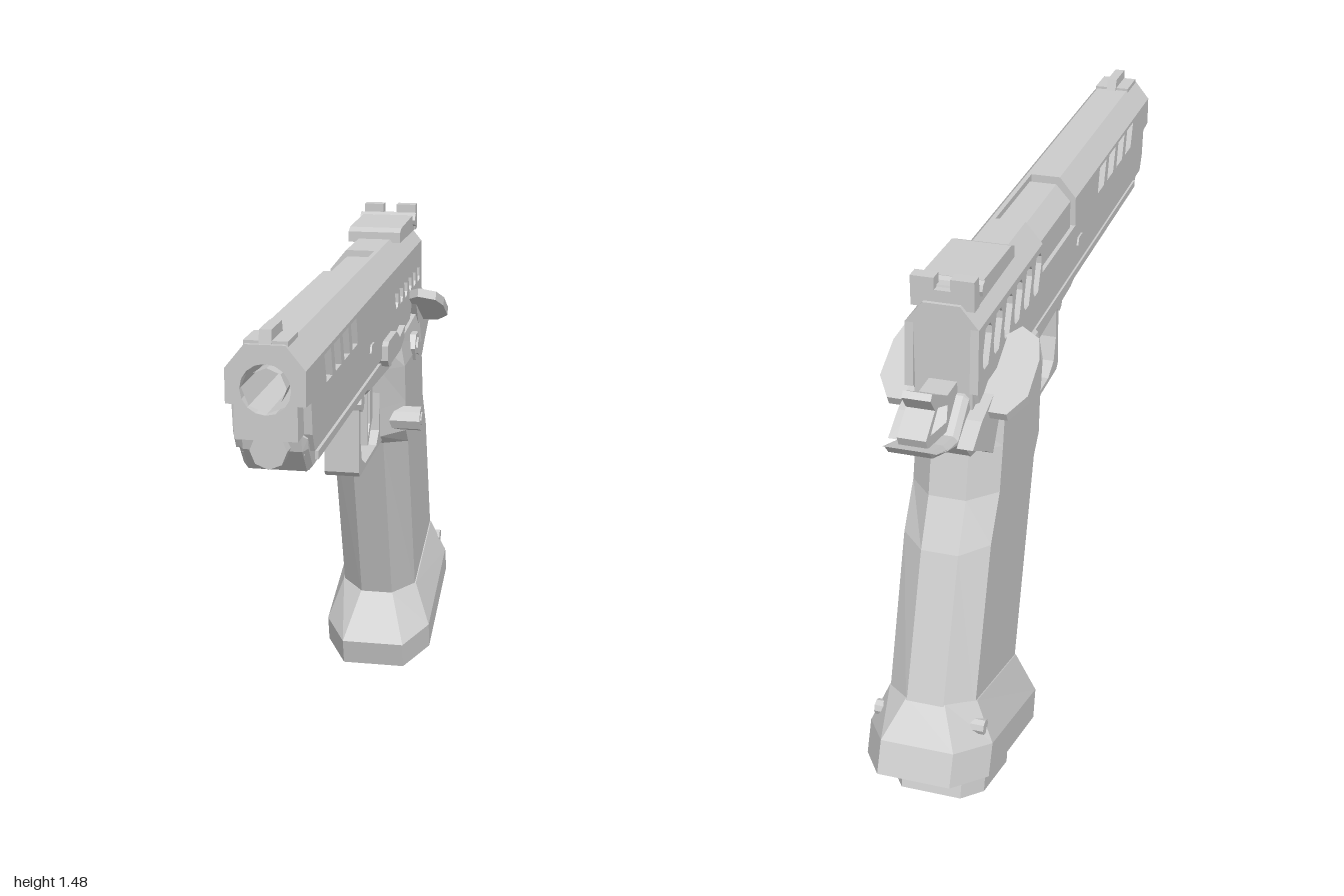
import * as THREE from 'three';

const steel = new THREE.MeshStandardMaterial({ color: 0xcccccc });
steel.name = 'grey steel';
steel.flatShading = true;

// Side profile of [z, y] points, extruded across x from x0 to x1
function sidePart(name, pts, x0, x1, holes = [], bevel = 0) {
  const toV = p => new THREE.Vector2(-p[0], p[1]);
  const shape = new THREE.Shape(pts.map(toV));
  holes.forEach(h => shape.holes.push(new THREE.Path(h.map(toV))));
  const geo = new THREE.ExtrudeGeometry(shape, {
    depth: x1 - x0 - 2 * bevel, bevelEnabled: bevel > 0, bevelSize: bevel,
    bevelThickness: bevel, bevelOffset: -bevel, bevelSegments: 1, curveSegments: 8,
  });
  geo.rotateY(Math.PI / 2).translate(x0 + bevel, 0, 0);
  return named(name, geo);
}

// Cross-section of [x, y] points, extruded along z from z0 to z1
function crossPart(name, pts, z0, z1, holes = []) {
  const shape = new THREE.Shape(pts.map(p => new THREE.Vector2(...p)));
  holes.forEach(([x, y, r]) => shape.holes.push(new THREE.Path().absarc(x, y, r, 0, Math.PI * 2, true)));
  const geo = new THREE.ExtrudeGeometry(shape, { depth: z1 - z0, bevelEnabled: false, curveSegments: 8 });
  return named(name, geo.translate(0, 0, z0));
}

function named(name, geo) {
  const mesh = new THREE.Mesh(geo, steel);
  mesh.name = name;
  return mesh;
}

function box(name, x0, x1, y0, y1, z0, z1) {
  const geo = new THREE.BoxGeometry(x1 - x0, y1 - y0, z1 - z0);
  return named(name, geo.translate((x0 + x1) / 2, (y0 + y1) / 2, (z0 + z1) / 2));
}

// Cylinder lying across x
function pin(name, z, y, r, x0, x1, sides = 8) {
  const geo = new THREE.CylinderGeometry(r, r, x1 - x0, sides);
  return named(name, geo.rotateZ(Math.PI / 2).translate((x0 + x1) / 2, y, z));
}

// Loft through tilted octagons, top to bottom: [frontZ, frontY, backZ, backY, halfWidth, halfFlat, chamfer]
function loft(name, sections) {
  const rings = sections.map(([fz, fy, bz, by, w, f, c]) => {
    const k = c / Math.hypot(bz - fz, by - fy);
    return [[f, 0], [w, k], [w, 1 - k], [f, 1], [-f, 1], [-w, 1 - k], [-w, k], [-f, 0]]
      .map(([x, t]) => [x, fy + (by - fy) * t, fz + (bz - fz) * t]);
  });
  const pos = [];
  const tri = (...v) => v.forEach(p => pos.push(...p));
  for (let i = 0; i < rings.length - 1; i++) {
    for (let j = 0; j < 8; j++) {
      const k = (j + 1) % 8, t = rings[i], b = rings[i + 1];
      tri(t[j], b[j], b[k]);
      tri(t[j], b[k], t[k]);
    }
  }
  const top = rings[0], end = rings[rings.length - 1];
  for (let j = 1; j < 7; j++) {
    tri(top[0], top[j], top[j + 1]);
    tri(end[0], end[j + 1], end[j]);
  }
  const geo = new THREE.BufferGeometry();
  geo.setAttribute('position', new THREE.Float32BufferAttribute(pos, 3));
  geo.computeVertexNormals();
  return named(name, geo);
}

export function createModel() {
  const model = new THREE.Group();
  const body = new THREE.Group();
  body.name = 'pistol';
  body.position.x = -0.01;
  model.add(body);
  const add = (...m) => body.add(...m);

  // Slide core: narrow waist under a chamfered crown
  const crown = [[-0.072, 1.2], [0.072, 1.2], [0.072, 1.36], [0.091, 1.36], [0.046, 1.415], [-0.046, 1.415], [-0.091, 1.36], [-0.072, 1.36]];
  add(crossPart('slideFront', crown, 0.14, 1, [[0, 1.315, 0.058]]));
  add(crossPart('slideRear', crown, -0.7, -0.18));
  add(crossPart('slidePortWall', [[-0.072, 1.17], [0.072, 1.17], [0.072, 1.36], [0.091, 1.36], [0.046, 1.415], [0.034, 1.415], [0.034, 1.28], [-0.072, 1.28]], -0.18, 0.14));
  add(crossPart('barrelHood', [[-0.08, 1.27], [0.034, 1.27], [0.034, 1.4], [-0.04, 1.4], [-0.08, 1.355]], -0.165, 0.125));
  add(box('slideUnderside', -0.072, 0.072, 1.15, 1.21, -0.7, 0.93));

  // Slide side plates with window and serration cut-outs
  const slots = [];
  for (let i = 0; i < 4; i++) {
    const z = 0.8 - i * 0.108;
    slots.push([[z, 1.35], [z - 0.075, 1.35], [z - 0.095, 1.28], [z - 0.025, 1.28]]);
  }
  for (let i = 0; i < 6; i++) {
    const z = -0.19 - i * 0.083;
    slots.push([[z, 1.33], [z - 0.01, 1.343], [z - 0.045, 1.343], [z - 0.07, 1.28], [z - 0.07, 1.255], [z - 0.06, 1.243], [z - 0.03, 1.243], [z, 1.31]]);
  }
  const nose = [[1, 1.36], [1, 1.28], [0.945, 1.275], [0.935, 1.2], [0.91, 1.155]];
  const tail = [[-0.48, 1.155], [-0.52, 1.2], [-0.715, 1.2], [-0.7, 1.36]];
  add(sidePart('leftSlidePlate', [...nose, ...tail], 0.07, 0.091, slots));
  add(sidePart('rightSlidePlate', [...nose, ...tail, [-0.18, 1.36], [-0.18, 1.28], [0.14, 1.28], [0.14, 1.36]], -0.091, -0.07, slots));

  // Barrel and guide rod
  const bore = new THREE.LatheGeometry([[0.001, 0.9], [0.04, 0.9], [0.045, 0.985], [0.058, 0.985], [0.058, 0.15]]
    .map(p => new THREE.Vector2(...p)), 8);
  add(named('barrel', bore.rotateX(Math.PI / 2).translate(0, 1.315, 0)));
  const rod = new THREE.CylinderGeometry(0.043, 0.043, 0.3, 8).rotateX(Math.PI / 2);
  add(named('guideRod', rod.translate(0, 1.17, 0.83)));

  // Frame, dust cover and accessory rail
  add(sidePart('frame', [[0.95, 1.2], [0.94, 1.16], [0.89, 1.1], [0.2, 1.1], [0.14, 1.085], [-0.64, 1.05], [-0.7, 1.2]], -0.08, 0.08, [], 0.012));
  for (const s of [-1, 1]) {
    add(box('frameRail', s * 0.082 - 0.006, s * 0.082 + 0.006, 1.12, 1.14, -0.3, 0.86));
  }
  for (let i = 0; i < 5; i++) {
    const z = 0.83 - i * 0.115;
    add(box('railLug', -0.06, 0.06, 1.084, 1.11, z - 0.07, z));
  }

  // Trigger guard and trigger
  add(sidePart('triggerGuard',
    [[0.17, 1.1], [0.13, 1.06], [0.13, 0.86], [0.115, 0.845], [-0.28, 0.845], [-0.3, 1.1]], -0.048, 0.048,
    [[[0.08, 1.075], [0.107, 1.04], [0.107, 0.95], [0.085, 0.885], [0.03, 0.858], [-0.15, 0.858], [-0.195, 0.89], [-0.2, 1.04], [-0.18, 1.075]]]));
  add(sidePart('trigger', [[-0.11, 1.08], [-0.115, 0.865], [-0.13, 0.865], [-0.165, 0.9], [-0.2, 0.93], [-0.2, 1.08]], -0.028, 0.028,
    [[[-0.122, 1.06], [-0.122, 0.885], [-0.155, 0.92], [-0.16, 1.06]]]));

  // Grip
  add(loft('grip', [
    [-0.19, 1.14, -0.66, 1.17, 0.1, 0.06, 0.06],
    [-0.19, 1.07, -0.64, 1.07, 0.113, 0.05, 0.06],
    [-0.205, 0.95, -0.665, 1.01, 0.113, 0.048, 0.07],
    [-0.215, 0.865, -0.695, 0.89, 0.113, 0.048, 0.07],
    [-0.27, 0.83, -0.76, 0.77, 0.113, 0.048, 0.06],
    [-0.455, 0.27, -0.905, 0.39, 0.113, 0.048, 0.06],
  ]));

  // Flared magazine well with a recessed mouth, and the magazine base
  add(loft('magazineWell', [
    [-0.45, 0.285, -0.893, 0.415, 0.116, 0.05, 0.06],
    [-0.375, 0.14, -0.965, 0.325, 0.163, 0.095, 0.11],
    [-0.395, 0.06, -1, 0.245, 0.163, 0.095, 0.11],
    [-0.44, 0.074, -0.955, 0.231, 0.135, 0.08, 0.09],
    [-0.425, 0.134, -0.937, 0.291, 0.125, 0.07, 0.08],
  ]));
  add(loft('magazineBody', [
    [-0.5, 0.2, -0.86, 0.31, 0.1, 0.05, 0.05],
    [-0.525, 0.085, -0.855, 0.185, 0.1, 0.05, 0.05],
  ]));
  add(loft('magazineBase', [
    [-0.53, 0.085, -0.855, 0.185, 0.122, 0.08, 0.07],
    [-0.55, 0, -0.88, 0.105, 0.122, 0.08, 0.07],
  ]));

  // Grip safety with beavertail, and the looped hammer
  add(sidePart('beavertail', [[-0.5, 1.21], [-0.71, 1.19], [-0.79, 1.125], [-0.86, 1.14], [-0.95, 1.17], [-0.93, 1.145], [-0.8, 1.095], [-0.71, 1.05], [-0.665, 1], [-0.62, 1.01]], -0.065, 0.065, [], 0.012));
  for (const s of [-1, 1]) {
    add(sidePart('gripSafetyCheek', [[-0.5, 1.22], [-0.62, 1.17], [-0.73, 1.14], [-0.8, 1.1], [-0.71, 1.05], [-0.65, 1.01]], s * 0.085 - 0.02, s * 0.085 + 0.02));
  }
  add(sidePart('hammer', [[-0.69, 1.22], [-0.77, 1.22], [-0.87, 1.275], [-0.882, 1.262], [-0.855, 1.225], [-0.92, 1.18], [-0.91, 1.155], [-0.78, 1.13], [-0.69, 1.13]], -0.035, 0.035,
    [[[-0.77, 1.195], [-0.835, 1.222], [-0.89, 1.178], [-0.78, 1.155]]]));

  // Thumb safeties on both sides
  for (const s of [-1, 1]) {
    const pts = [[0.07, 0.1], [0.12, 0.15], [0.17, 0.12], [0.187, 0.06], [0.187, -0.05], [0.15, -0.11], [0.07, -0.11]];
    const wing = crossPart('thumbSafety', pts.map(([x, l]) => [s * x, l]), -0.013, 0.013);
    wing.rotation.x = Math.PI / 2 - 0.47;
    wing.position.set(0, 1.18, -0.58);
    add(wing);
  }

  // Controls and pins
  add(sidePart('slideStop', [[0.02, 1.19], [0.02, 1.15], [0, 1.13], [-0.2, 1.13], [-0.27, 1.15], [-0.28, 1.185], [-0.19, 1.17], [-0.13, 1.2], [0, 1.2]], 0.08, 0.108));
  add(pin('magazineRelease', -0.27, 0.91, 0.036, 0.05, 0.16));
  add(pin('magazineReleaseButton', -0.27, 0.91, 0.02, 0.15, 0.164));
  add(pin('gripScrew', -0.43, 1.09, 0.045, -0.122, 0.122, 6));
  add(pin('gripScrewCap', -0.43, 1.09, 0.026, -0.128, 0.128));
  add(pin('guardPin', 0.115, 1.055, 0.025, -0.056, 0.056));
  add(pin('magazineWellPin', -0.86, 0.34, 0.02, -0.145, 0.145));
  add(sidePart('slideLatch', [[0.21, 1.215], [0.155, 1.215], [0.165, 1.235], [0.2, 1.235]], -0.096, 0.096));

  // Sights
  add(box('frontSightBase', -0.05, 0.05, 1.41, 1.422, 0.89, 0.99));
  add(sidePart('frontSight', [[0.995, 1.415], [0.88, 1.415], [0.89, 1.447], [0.99, 1.447]], -0.014, 0.014));
  add(sidePart('rearSightBase', [[-0.375, 1.405], [-0.375, 1.435], [-0.4, 1.445], [-0.67, 1.45], [-0.685, 1.4]], -0.076, 0.076));
  add(crossPart('rearSightBlade', [[-0.078, 1.4], [0.078, 1.4], [0.078, 1.475], [0.02, 1.475], [0.02, 1.445], [-0.02, 1.445], [-0.02, 1.475], [-0.078, 1.475]], -0.69, -0.655));
  add(pin('rearSightScrew', -0.63, 1.435, 0.02, -0.084, 0.084));
  return model;
}
